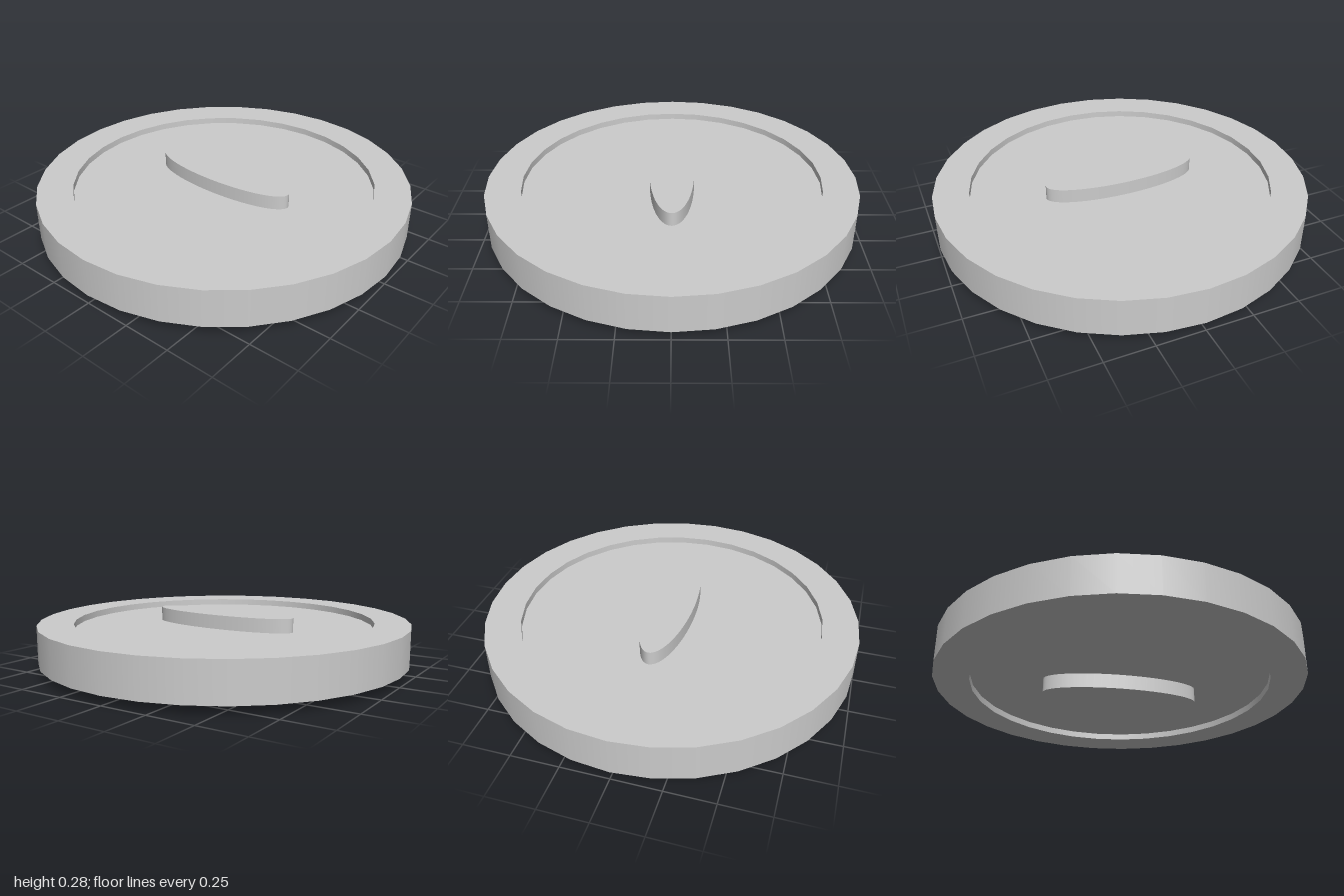
import * as THREE from 'three';
import { mergeGeometries } from 'three/addons/utils/BufferGeometryUtils.js';

const SIDES = 32;
const RIM_RADIUS = 1, RECESS_RADIUS = 0.81;
const RIM_BOTTOM = 0.045, RIM_TOP = 0.245;
const FLOOR_BOTTOM = 0.08, FLOOR_TOP = 0.21;
const HEIGHT = 0.285;

// Revolve each profile edge separately so the corners stay sharp
function sharpLathe(profile) {
  const bands = [];
  for (let i = 0; i < profile.length - 1; i++) {
    const edge = [profile[i], profile[i + 1]].map(([r, y]) => new THREE.Vector2(r, y));
    const band = new THREE.LatheGeometry(edge, SIDES);
    band.normalizeNormals();
    bands.push(band);
  }
  return mergeGeometries(bands);
}

export function createModel() {
  const group = new THREE.Group();
  const material = new THREE.MeshStandardMaterial({ color: 0xcccccc });
  const add = (name, geometry) => {
    const mesh = new THREE.Mesh(geometry, material);
    mesh.name = name;
    group.add(mesh);
    return mesh;
  };

  // Raised outer rim with the short walls of both recesses
  add('rim', sharpLathe([
    [RECESS_RADIUS, FLOOR_BOTTOM],
    [RECESS_RADIUS, RIM_BOTTOM],
    [RIM_RADIUS, RIM_BOTTOM],
    [RIM_RADIUS, RIM_TOP],
    [RECESS_RADIUS, RIM_TOP],
    [RECESS_RADIUS, FLOOR_TOP],
  ]));

  // Recessed floors, one on each face
  for (const [name, y, turn] of [['topFloor', FLOOR_TOP, -1], ['bottomFloor', FLOOR_BOTTOM, 1]]) {
    const floor = new THREE.CircleGeometry(RECESS_RADIUS, SIDES);
    floor.rotateX(turn * Math.PI / 2);
    add(name, floor).position.y = y;
  }

  // Elliptical boss standing proud on both faces
  const boss = new THREE.CylinderGeometry(1, 1, HEIGHT, 64);
  boss.scale(0.12, 1, 0.42);
  add('centreBoss', boss).position.y = HEIGHT / 2;

  return group;
}
